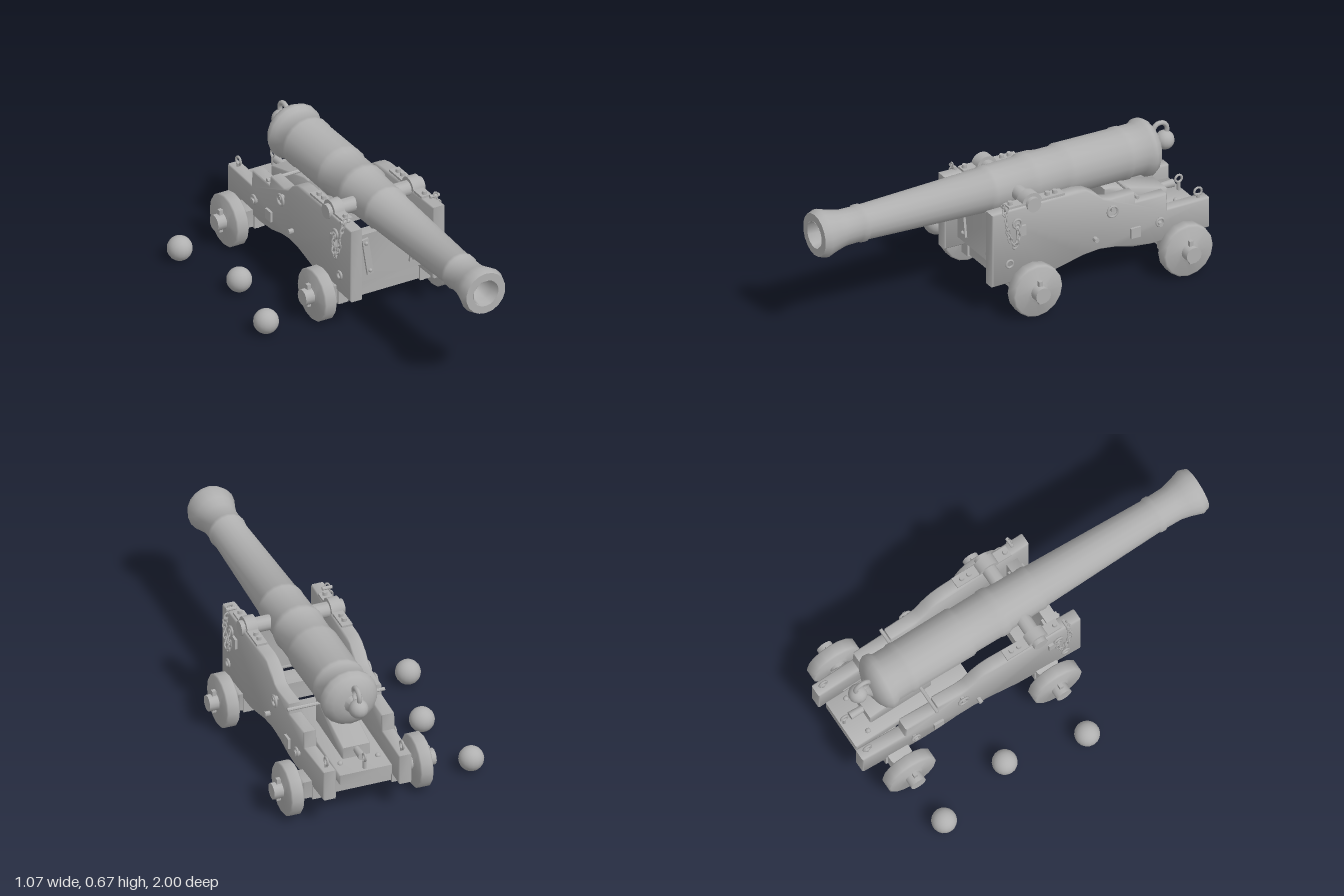
import * as THREE from 'three';
import { toCreasedNormals } from 'three/addons/utils/BufferGeometryUtils.js';

export function createModel() {
  const root = new THREE.Group();
  const gun = new THREE.Group();
  gun.name = 'gunAndCarriage';
  gun.position.x = 0.1275;
  root.add(gun);
  const grey = new THREE.MeshStandardMaterial({ color: 0xb0b0b0 });
  grey.name = 'plain grey';

  const V = (x, y, z) => new THREE.Vector3(x, y, z);
  function add(name, geo, x = 0, y = 0, z = 0, parent = gun) {
    const mesh = new THREE.Mesh(geo, grey);
    mesh.name = name;
    mesh.position.set(x, y, z);
    parent.add(mesh);
    return mesh;
  }
  const box = (w, h, d) => new THREE.BoxGeometry(w, h, d);
  const rodX = (r, len, n = 12) =>
    toCreasedNormals(new THREE.CylinderGeometry(r, r, len, n).rotateZ(Math.PI / 2), 0.8);
  // side profile in (z, y), extruded across x and centred
  function sideSlab(points, width, bevel = 0) {
    const shape = new THREE.Shape(points.map(([z, y]) => new THREE.Vector2(-z, y)));
    return new THREE.ExtrudeGeometry(shape, {
      depth: width - 2 * bevel, bevelEnabled: bevel > 0, bevelSize: bevel,
      bevelOffset: -bevel, bevelThickness: bevel, bevelSegments: 1,
    }).translate(0, 0, -width / 2 + bevel).rotateY(Math.PI / 2);
  }
  // softened slab: normals blend across the bevels
  const softSlab = (points, width, bevel) => toCreasedNormals(sideSlab(points, width, bevel), 1);
  const latheZ = (profile, n) => toCreasedNormals(new THREE.LatheGeometry(
    profile.map(([r, z]) => new THREE.Vector2(r, z)), n).rotateX(Math.PI / 2), 1.1);

  // Barrel, from the breech to the muzzle lip
  add('barrel', latheZ([
    [0, -0.83], [0.06, -0.83], [0.1, -0.815], [0.128, -0.795], [0.142, -0.77], [0.14, -0.75],
    [0.126, -0.73], [0.125, -0.66], [0.13, -0.65], [0.13, -0.63], [0.126, -0.62],
    [0.128, -0.34], [0.129, -0.32], [0.12, -0.3], [0.121, -0.16], [0.126, -0.15],
    [0.125, -0.12], [0.116, -0.1], [0.112, 0.06], [0.114, 0.07],
    [0.114, 0.09], [0.107, 0.1], [0.086, 0.74], [0.092, 0.75], [0.092, 0.77], [0.086, 0.78],
    [0.088, 0.86], [0.1, 0.91], [0.118, 0.965], [0.106, 1.0], [0.068, 1.0],
  ], 18), 0, 0.532, 0);
  // Bore, coarser than the outside
  add('bore', latheZ([[0.07, 1.0], [0.06, 0.95], [0.045, 0.89], [0, 0.86]], 8)
    .rotateZ(Math.PI / 8), 0, 0.532, 0);
  add('cascabelNeck', latheZ([[0.026, -0.9], [0.026, -0.85], [0.055, -0.825]].reverse(), 12)
    .scale(1, 1, 1), 0, 0.535, 0).material.side = THREE.DoubleSide;
  add('cascabelKnob', new THREE.SphereGeometry(0.047, 14, 10), 0, 0.54, -0.885);
  const loop = add('breechingLoop', new THREE.TorusGeometry(0.038, 0.012, 8, 16), 0, 0.597, -0.86);
  loop.rotation.y = Math.PI / 2;
  add('trunnions', rodX(0.037, 0.52, 14), 0, 0.535, -0.035);

  // Cheek outer offset, tapering toward the rear
  const cheekX = z => 0.223 - (0.19 - z) * 0.028;
  const cheekProfile = [
    [0.19, 0.155], [0.19, 0.535], [-0.28, 0.535], [-0.33, 0.525], [-0.38, 0.495], [-0.42, 0.455],
    [-0.46, 0.443], [-0.59, 0.443], [-0.595, 0.39], [-0.765, 0.39], [-0.77, 0.305],
    [-1, 0.305], [-1, 0.15], [-0.68, 0.148], [-0.58, 0.16], [-0.49, 0.185],
    [-0.4, 0.197], [-0.31, 0.19], [-0.23, 0.172], [-0.15, 0.155],
  ];

  // Small ironwork
  function ring(name, x, y, z, r, tube, turn) {
    const m = add(name, new THREE.TorusGeometry(r, tube, 6, 14), x, y, z);
    m.rotation.y = turn;
    return m;
  }
  function chain(name, side, points) {
    const curve = new THREE.CatmullRomCurve3(points.map(([o, y, z]) => V(side * o, y, z)));
    const count = Math.round(curve.getLength() / 0.025);
    const group = new THREE.Group();
    group.name = name;
    gun.add(group);
    for (let i = 0; i <= count; i++) {
      const p = curve.getPointAt(i / count);
      const geo = new THREE.TorusGeometry(0.011, 0.004, 5, 8).scale(1, 1.5, 1)
        .rotateY(i % 2 ? Math.PI / 2 : 0);
      const link = add('chainLink', geo, p.x, p.y, p.z, group);
      link.quaternion.setFromUnitVectors(V(0, 1, 0), curve.getTangentAt(i / count));
    }
  }

  for (const side of [-1, 1]) {
    const cheek = sideSlab(cheekProfile, 0.066, 0.006);
    const p = cheek.attributes.position;
    for (let i = 0; i < p.count; i++) p.setX(i, p.getX(i) + side * cheekX(p.getZ(i)));
    add('cheek', toCreasedNormals(cheek, 1));

    // Cap square over each trunnion
    const arch = [];
    for (let i = 0; i <= 10; i++) {
      const a = Math.PI * i / 10;
      arch.push([-0.035 + 0.054 * Math.cos(a), 0.535 + 0.054 * Math.sin(a)]);
    }
    add('capSquare', toCreasedNormals(sideSlab(arch, 0.054), 0.6), side * 0.212);
    add('capStrap', box(0.054, 0.012, 0.3), side * 0.214, 0.54, -0.06);
    for (const z of [0.07, -0.13, -0.17])
      add('capBolt', new THREE.CylinderGeometry(0.012, 0.014, 0.025, 8), side * 0.214, 0.55, z);

    // Square plates, bolts and rings on the outer face
    const face = z => side * (cheekX(z) + 0.033);
    for (const [z, y] of [[0.035, 0.418], [-0.59, 0.237]])
      add('squarePlate', box(0.024, 0.052, 0.052), face(z), y, z);
    for (const [z, y] of [[-0.37, 0.262], [-0.72, 0.25], [-0.46, 0.4]])
      add('cheekBolt', rodX(0.012, 0.05, 8), face(z), y, z);
    ring('cheekRing', face(-0.46) + side * 0.016, 0.387, -0.46, 0.027, 0.006, Math.PI / 2);
    ring('frontRing', face(0.06) + side * 0.012, 0.465, 0.06, 0.022, 0.006, Math.PI / 2);
    ring('lowRing', face(-0.72) + side * 0.016, 0.26, -0.72, 0.02, 0.006, Math.PI / 2);
    ring('lowFrontRing', face(0.1) + side * 0.01, 0.262, 0.1, 0.018, 0.006, Math.PI / 2);
    ring('tailRing', side * 0.19, 0.335, -0.955, 0.02, 0.006, Math.PI / 2);
    add('tailBolt', new THREE.CylinderGeometry(0.009, 0.009, 0.03, 8), side * 0.19, 0.308, -0.955);
    chain('pinChain', side, [[0.245, 0.555, 0.12], [0.27, 0.48, 0.12], [0.272, 0.39, 0.1],
      [0.272, 0.355, 0.075], [0.27, 0.4, 0.055], [0.268, 0.45, 0.06]]);
    add('chainPin', rodX(0.009, 0.05, 8), side * 0.242, 0.55, 0.115);

    // Straps on both faces of the front panel
    for (const z of [0.128, 0.056]) {
      const strap = add('panelStrap', box(0.034, 0.195, 0.012), side * 0.128, 0.338, z);
      strap.rotation.z = -side * 0.15;
    }
    for (const t of [-1, 1])
      add('strapBolt', new THREE.SphereGeometry(0.01, 8, 6),
        side * (0.128 + t * 0.011), 0.338 + t * 0.075, 0.135);
  }

  // Front panel, bed and elevating wedge between the cheeks
  add('frontPanel', softSlab([[0.122, 0.205], [0.122, 0.455], [0.062, 0.455], [0.062, 0.205]],
    0.385, 0.006));
  add('crossBolt', rodX(0.009, 0.49, 8), 0, 0.42, -0.6);
  add('lowerCrossBolt', rodX(0.012, 0.42, 8), 0, 0.195, 0.075);
  add('bed', softSlab([[-0.98, 0.2], [-0.98, 0.255], [-0.35, 0.285], [-0.35, 0.23]], 0.265, 0.005));
  add('quoin', softSlab([[-0.86, 0.255], [-0.86, 0.32], [-0.56, 0.405], [-0.52, 0.405],
    [-0.52, 0.265]], 0.14, 0.005));
  const handle = add('quoinHandle', new THREE.CylinderGeometry(0.016, 0.02, 0.08, 10), 0, 0.3, -0.89);
  handle.rotation.x = Math.PI / 2;
  add('bedEyeStem', new THREE.CylinderGeometry(0.009, 0.009, 0.05, 8), 0, 0.275, -0.96);
  ring('bedEye', 0, 0.315, -0.96, 0.018, 0.006, Math.PI / 2);
  for (const s of [-1, 1])
    add('bedBolt', new THREE.SphereGeometry(0.014, 8, 6), s * 0.095, 0.26, -0.89);

  // Wheel: square rim with eased edges, turned about x
  const wheelGeo = toCreasedNormals(new THREE.LatheGeometry([
    [0, -0.035], [0.05, -0.035], [0.056, -0.031], [0.124, -0.033], [0.132, -0.026],
    [0.132, 0.026], [0.124, 0.033], [0.056, 0.031], [0.05, 0.035], [0, 0.035],
  ].map(([r, h]) => new THREE.Vector2(r, h)), 16).rotateZ(Math.PI / 2), 1);

  // Two axles with wheels and linchpins
  for (const z of [0, -0.81]) {
    add('axleBeam', softSlab([[0.055, 0.09], [0.055, 0.18], [-0.055, 0.18],
      [-0.055, 0.09]], 0.55, 0.012), 0, 0, z);
    add('axleArm', rodX(0.04, 0.815, 14), 0, 0.133, z);
    for (const side of [-1, 1]) {
      add('wheel', wheelGeo, side * 0.325, 0.133, z);
      add('linchpin', box(0.02, 0.118, 0.02), side * 0.375, 0.138, z);
      add('axleClamp', box(0.055, 0.08, 0.13), side * (cheekX(z) + 0.004), 0.123, z);
      for (const t of [-1, 1])
        add('clampNut', new THREE.CylinderGeometry(0.012, 0.012, 0.02, 6),
          side * cheekX(z), 0.082, z + t * 0.04);
    }
  }

  // Loose shot on the ground
  for (const [x, z] of [[-0.475, -0.795], [-0.385, -0.4], [-0.475, 0]])
    add('cannonball', new THREE.SphereGeometry(0.061, 18, 12), x, 0.064, z, root);

  return root;
}
